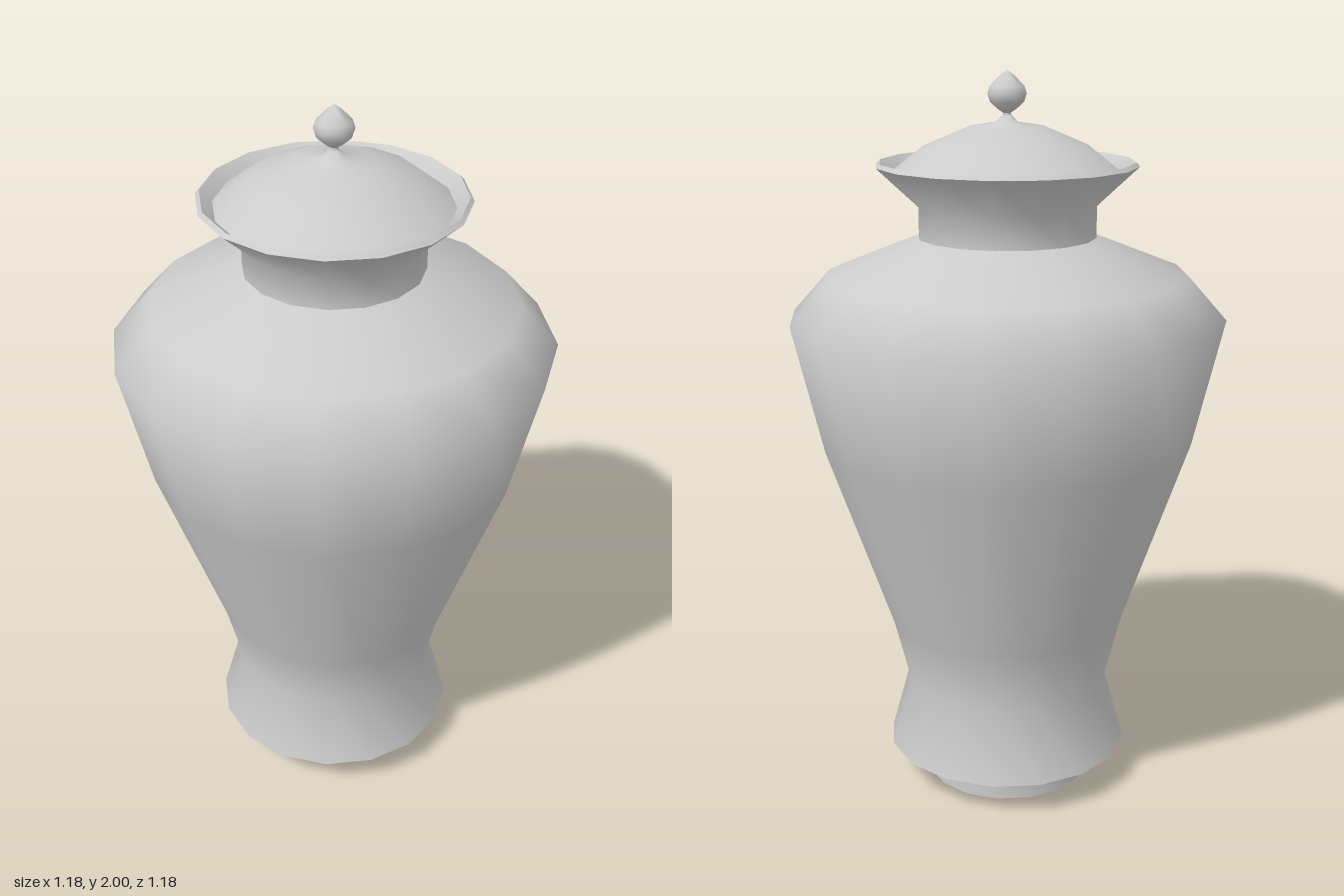
import * as THREE from 'three';
import { toCreasedNormals } from 'three/addons/utils/BufferGeometryUtils.js';

const material = new THREE.MeshStandardMaterial({ color: 0xcccccc });

// Revolve a [radius, height] profile, keeping only sharp turns creased
function turned(name, profile, sides) {
  const points = profile.map(([r, y]) => new THREE.Vector2(r, y));
  const geometry = toCreasedNormals(new THREE.LatheGeometry(points, sides), Math.PI / 3);
  const mesh = new THREE.Mesh(geometry, material);
  mesh.name = name;
  return mesh;
}

export function createModel() {
  const urn = new THREE.Group();
  urn.name = 'lidded urn';

  // Body: recessed foot, waist, shoulder, neck, flared rim and inner throat
  urn.add(turned('body', [
    [0, 0.04], [0.18, 0.04], [0.18, 0], [0.23, 0], [0.23, 0.04],
    [0.34, 0.1], [0.285, 0.3], [0.33, 0.48], [0.51, 1.0], [0.592, 1.35],
    [0.49, 1.465], [0.24, 1.565], [0.24, 1.65], [0.352, 1.755],
    [0.342, 1.765], [0.21, 1.645], [0.21, 1.56],
  ], 16));

  // Shallow domed lid resting inside the rim, closed underneath
  urn.add(turned('lid', [
    [0, 1.735], [0.31, 1.735], [0.225, 1.802], [0.1, 1.855], [0.03, 1.866], [0.012, 1.885],
  ], 16));

  // Pointed knob on a thin stem
  urn.add(turned('knob', [
    [0.012, 1.865], [0.01, 1.89], [0.025, 1.9], [0.045, 1.918], [0.052, 1.94],
    [0.046, 1.958], [0.02, 1.985], [0, 2],
  ], 24));

  return urn;
}
